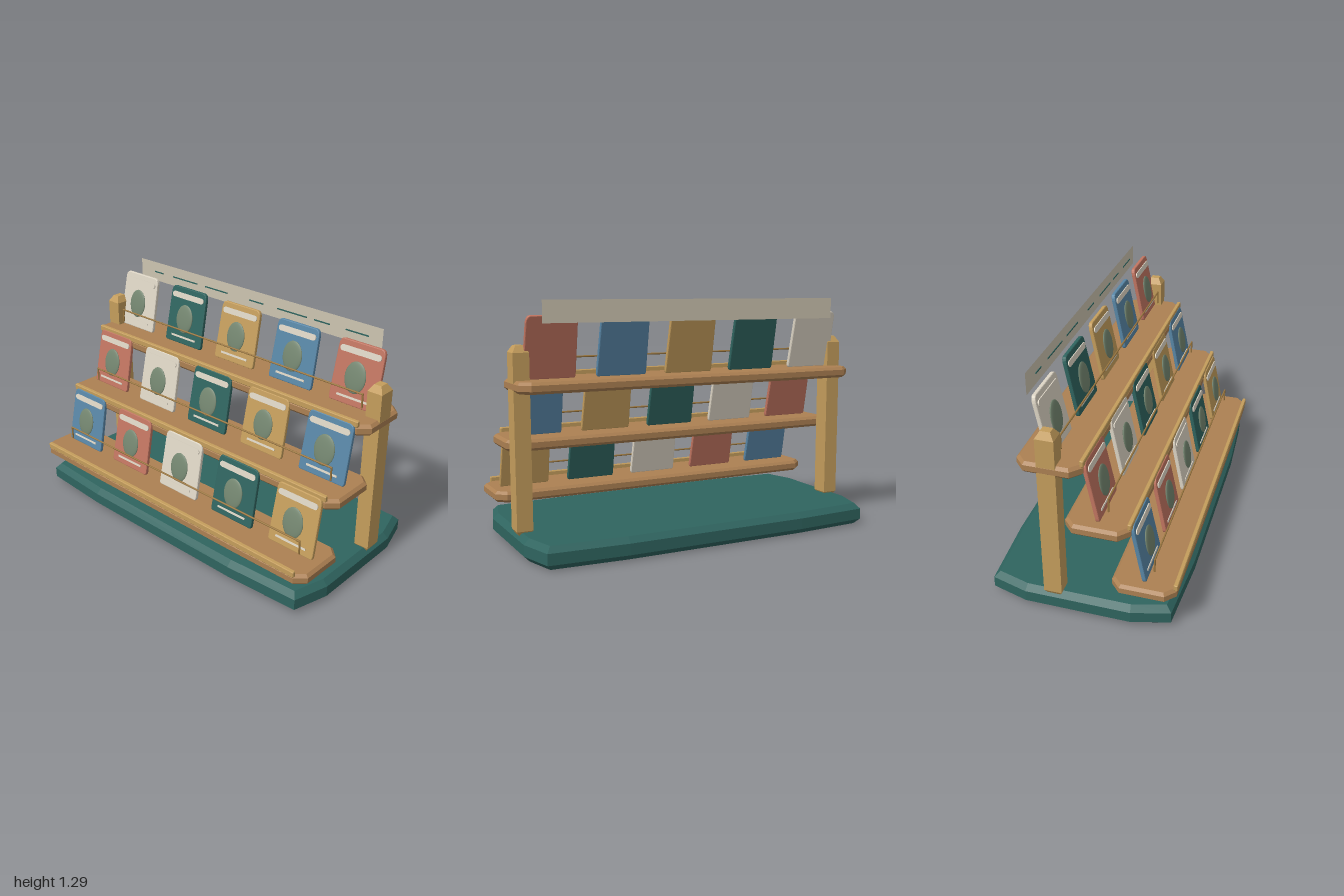
import * as THREE from 'three';

const mat = (name, color, side = THREE.FrontSide) => {
  const m = new THREE.MeshStandardMaterial({ color, side });
  m.name = name;
  return m;
};

// Slab with chamfered edges, lying flat; y runs from 0 to height
function slab(points, height, bevelIn, bevelUp) {
  const geo = new THREE.ExtrudeGeometry(new THREE.Shape(points.map(([x, y]) => new THREE.Vector2(x, y))), {
    depth: height - 2 * bevelUp, bevelEnabled: true, bevelSegments: 1,
    bevelSize: bevelIn, bevelOffset: -bevelIn, bevelThickness: bevelUp,
  });
  geo.translate(0, 0, bevelUp);
  geo.rotateX(-Math.PI / 2);
  return geo;
}

// Mirrors a quarter outline (from the x side to the z side) into a full loop
function mirrorOutline(quarter) {
  const right = [...quarter.map(([x, y]) => [x, -y]).reverse(), ...quarter];
  return [...right, ...right.map(([x, y]) => [-x, y]).reverse()];
}

export function createModel() {
  const teal = mat('teal', 0x2f645f);
  const wood = mat('shelf wood', 0xac8052);
  const gold = mat('golden wood', 0xc49d5c);
  const cream = mat('cream', 0xdcd4c4);
  const blue = mat('blue', 0x5886a6);
  const red = mat('terracotta', 0xc07460);
  const sage = mat('sage', 0x748670);
  const brass = mat('brass', 0x9c7840);
  const board = mat('sign board', 0xcdc4b0, THREE.DoubleSide);

  const model = new THREE.Group();
  const add = (parent, name, geo, material, x = 0, y = 0, z = 0) => {
    const mesh = new THREE.Mesh(geo, material);
    mesh.name = name;
    mesh.position.set(x, y, z);
    parent.add(mesh);
    return mesh;
  };

  // Base plinth
  add(model, 'base', slab(mirrorOutline([[1, 0.28], [0.945, 0.478], [0.52, 0.503]]), 0.12, 0.03, 0.03), teal, 0, 0.01, 0);

  // Two posts with chamfered tops
  const postGeo = slab([[0.0425, -0.0475], [0.0425, 0.0475], [-0.0425, 0.0475], [-0.0425, -0.0475]], 0.98, 0.022, 0.036);
  for (const side of [-1, 1]) add(model, side > 0 ? 'leftPost' : 'rightPost', postGeo, gold, side * 0.957, 0.1, -0.127);

  // Shared shelf and packet geometry
  const shelfGeo = slab(mirrorOutline([[1, 0.115], [0.945, 0.166], [0.52, 0.17]]), 0.06, 0.015, 0.015);
  const lipGeo = slab(mirrorOutline([[0.95, 0.007], [0.945, 0.011]]), 0.034, 0.003, 0.004);
  const outline = new THREE.Shape();
  outline.moveTo(-0.134, 0);
  outline.lineTo(0.134, 0);
  outline.quadraticCurveTo(0.142, 0.004, 0.142, 0.02);
  outline.lineTo(0.137, 0.295);
  outline.quadraticCurveTo(0.134, 0.328, 0.112, 0.33);
  outline.lineTo(-0.112, 0.33);
  outline.quadraticCurveTo(-0.134, 0.328, -0.137, 0.295);
  outline.lineTo(-0.142, 0.02);
  outline.quadraticCurveTo(-0.142, 0.004, -0.134, 0);
  const packetGeo = new THREE.ExtrudeGeometry(outline, {
    depth: 0.012, bevelSegments: 2, bevelSize: 0.005, bevelOffset: -0.005, bevelThickness: 0.005, curveSegments: 4,
  });
  packetGeo.translate(0, 0, -0.006);
  const badgeGeo = new THREE.SphereGeometry(1, 24, 16);
  badgeGeo.scale(0.063, 0.084, 0.011);

  // Label band with rounded ends
  const band = new THREE.Shape();
  band.absarc(0.106, 0, 0.016, -Math.PI / 2, Math.PI / 2);
  band.absarc(-0.106, 0, 0.016, Math.PI / 2, Math.PI * 1.5);
  const bandGeo = new THREE.ExtrudeGeometry(band, { depth: 0.006, bevelEnabled: false, curveSegments: 5 });
  const stripGeo = new THREE.BoxGeometry(0.19, 0.011, 0.005);

  const railGeo = new THREE.CylinderGeometry(0.005, 0.005, 1.77, 8).rotateZ(Math.PI / 2);
  const railPostGeo = new THREE.CylinderGeometry(0.005, 0.005, 0.078, 8);

  const palette = [cream, teal, gold, blue, red];
  const tiers = [
    { name: 'lower', y: 0.205, z: 0.337, shift: 3 },
    { name: 'middle', y: 0.525, z: 0.103, shift: 4 },
    { name: 'upper', y: 0.845, z: -0.128, shift: 0 },
  ];

  for (const { name, y, z, shift } of tiers) {
    const tier = new THREE.Group();
    tier.name = name + 'Tier';
    tier.position.set(0, y, z);
    model.add(tier);
    add(tier, 'shelf', shelfGeo, wood);
    add(tier, 'shelfLip', lipGeo, gold, 0, 0.05, 0.16);

    // Wire rail in front of the packets
    add(tier, 'wireRail', railGeo, brass, 0, 0.164, 0.036);
    for (const side of [-1, 1]) add(tier, 'wireRailEnd', railPostGeo, brass, side * 0.882, 0.128, 0.036);

    // Leaning packets
    for (let i = 0; i < 5; i++) {
      const packet = new THREE.Group();
      packet.name = 'packet';
      packet.position.set(-0.8 + i * 0.4, 0.06, 0);
      packet.rotation.x = -0.21;
      tier.add(packet);
      add(packet, 'packetBody', packetGeo, palette[(i + shift) % 5]);
      add(packet, 'packetLabel', bandGeo, cream, 0, 0.282, 0.0105);
      add(packet, 'packetBadge', badgeGeo, sage, 0, 0.152, 0.021);
      add(packet, 'packetStrip', stripGeo, cream, 0, 0.04, 0.0125);
    }
  }

  // Thin header board behind the top row, with a broken trim line
  add(model, 'headerBoard', new THREE.PlaneGeometry(1.74, 0.115), board, 0, 1.247, -0.253);
  for (const [x, w] of [[-0.72, 0.07], [-0.5, 0.2], [-0.25, 0.17], [0.05, 0.1], [0.3, 0.2], [0.5, 0.1], [0.72, 0.14]])
    add(model, 'headerTrim', new THREE.BoxGeometry(w, 0.007, 0.003), teal, x, 1.245, -0.251);

  return model;
}
